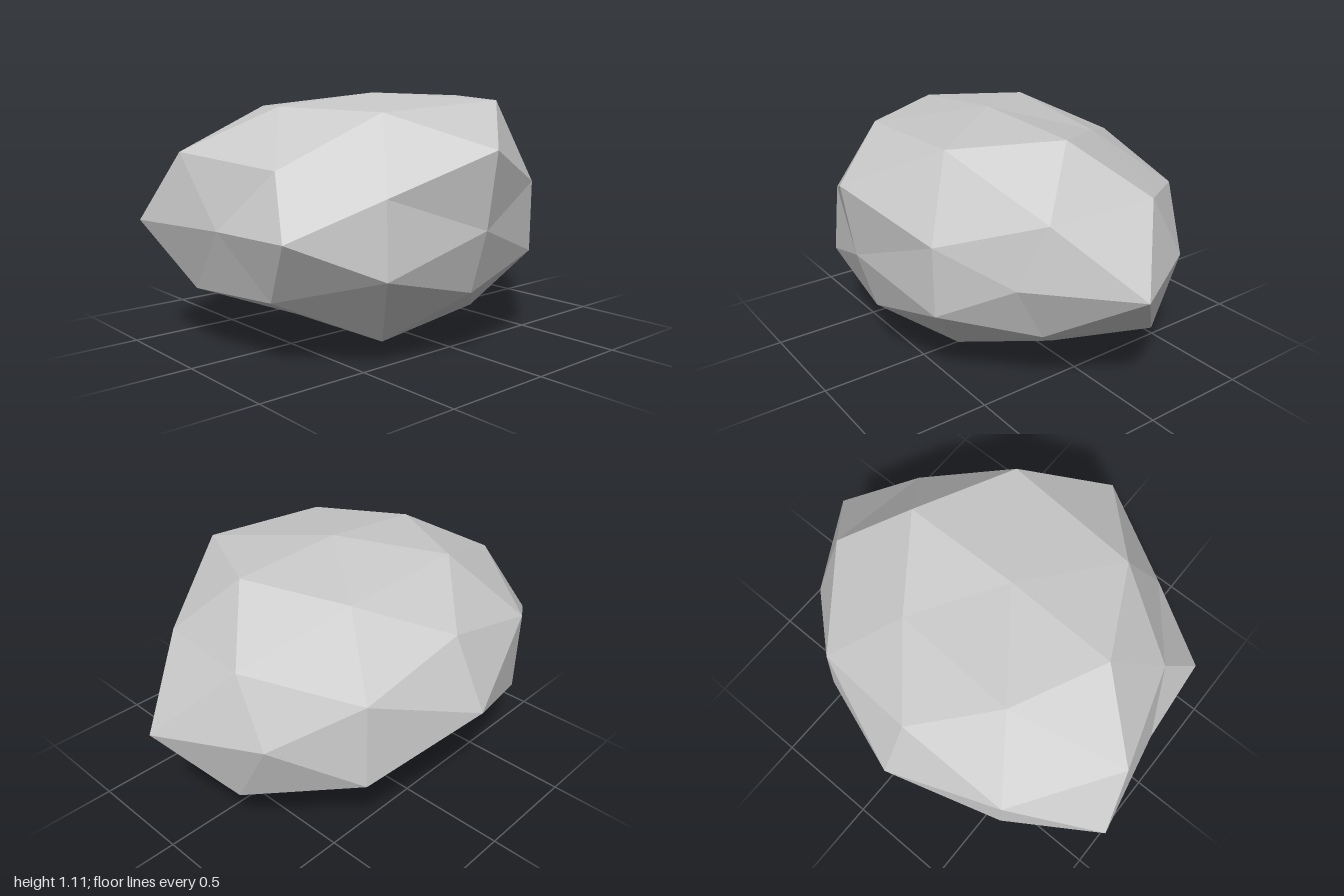
import * as THREE from 'three';

// Direction families of a once-divided icosahedron, each with one radius per
// sign combination (x sign slowest, + before -; zero components are not flipped).
const P = 0.8507, Q = 0.5257;
const FAMILIES = [
  { dir: [1, 0, 0], radii: [1.072, 0.83] },
  { dir: [0, 1, 0], radii: [0.928, 0.963] },
  { dir: [0, 0, 1], radii: [0.846, 1.066] },
  { dir: [0, Q, P], radii: [1.066, 1.02, 0.88, 0.853] },
  { dir: [Q, P, 0], radii: [1.052, 0.905, 0.985, 0.83] },
  { dir: [P, 0, Q], radii: [0.81, 0.975, 0.935, 1.09] },
  { dir: [0.5, 0.309, 0.809], radii: [0.865, 1.01, 0.86, 1.05, 0.855, 1.055, 0.893, 1.05] },
  { dir: [0.309, 0.809, 0.5], radii: [1.08, 0.915, 0.89, 0.9, 1.0, 1.015, 0.985, 0.848] },
  { dir: [0.809, 0.5, 0.309], radii: [0.92, 1.0, 0.855, 1.038, 0.857, 1.037, 0.905, 0.972] },
];

const signs = (c) => (c === 0 ? [1] : [1, -1]);

// Expand the families into a list of bumps: unit direction and radius
function makeBumps() {
  const bumps = [];
  for (const { dir: [x, y, z], radii } of FAMILIES) {
    let i = 0;
    for (const sx of signs(x)) for (const sy of signs(y)) for (const sz of signs(z)) {
      bumps.push({ dir: new THREE.Vector3(x * sx, y * sy, z * sz), radius: radii[i++] });
    }
  }
  return bumps;
}

export function createModel() {
  const group = new THREE.Group();
  group.name = 'boulder';

  const stone = new THREE.MeshStandardMaterial({ color: 0xc8c8c8, flatShading: true });
  stone.name = 'pale stone grey';

  // Push every corner out to its radius, then squash the ball into a low stone
  const bumps = makeBumps();
  const geometry = new THREE.IcosahedronGeometry(1, 1);
  const pos = geometry.attributes.position;
  const v = new THREE.Vector3();
  for (let i = 0; i < pos.count; i++) {
    v.fromBufferAttribute(pos, i).normalize();
    let best = bumps[0];
    for (const b of bumps) if (b.dir.dot(v) > best.dir.dot(v)) best = b;
    v.multiplyScalar(best.radius);
    pos.setXYZ(i, v.x, v.y, v.z);
  }
  geometry.scale(1, 0.587, 0.83);
  geometry.translate(-0.073, 0.566, 0.065);
  geometry.computeVertexNormals();

  const rock = new THREE.Mesh(geometry, stone);
  rock.name = 'rock';
  group.add(rock);
  return group;
}
